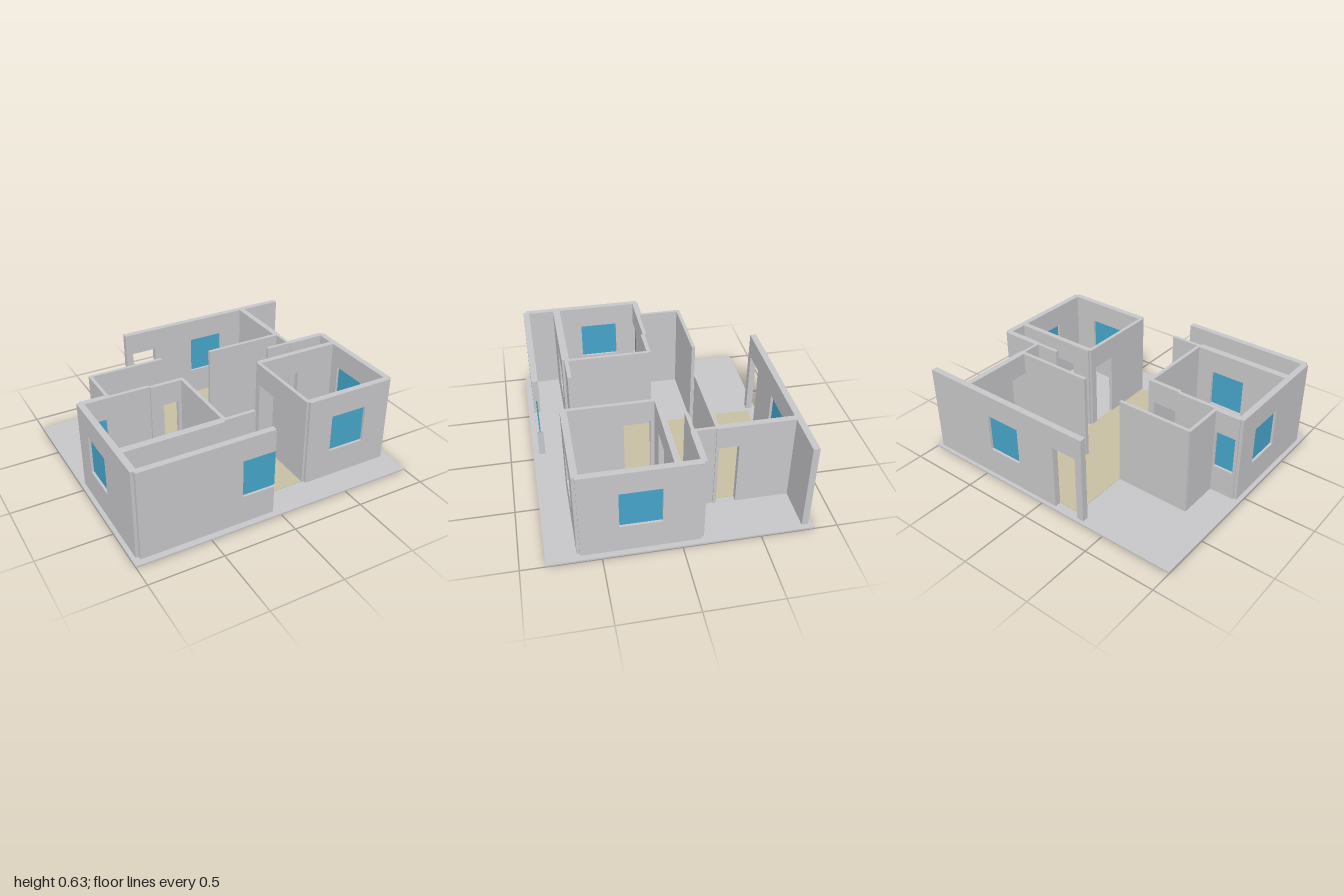
import * as THREE from 'three';

const wallMat = new THREE.MeshStandardMaterial({ color: 0xc8c8ca });
wallMat.name = 'grey plaster';
const glassMat = new THREE.MeshStandardMaterial({ color: 0x46a6cb });
glassMat.name = 'blue glass';
const hallMat = new THREE.MeshStandardMaterial({ color: 0xc8c0a3 });
hallMat.name = 'tan floor';

const FLOOR = 0.012, TOP = 0.63, SILL = 0.21, HEAD = 0.475;

function box(parent, name, mat, x0, x1, y0, y1, z0, z1) {
  const mesh = new THREE.Mesh(new THREE.BoxGeometry(x1 - x0, y1 - y0, z1 - z0), mat);
  mesh.position.set((x0 + x1) / 2, (y0 + y1) / 2, (z0 + z1) / 2);
  mesh.name = name;
  parent.add(mesh);
}

// A straight wall with one row of openings: [start, end, 'window' | 'door'] along its length
function wall(parent, name, x0, x1, z0, z1, openings = []) {
  const group = new THREE.Group();
  group.name = name;
  parent.add(group);
  const alongX = x1 - x0 > z1 - z0;
  const piece = (label, mat, a, b, y0, y1, inset = 0) => alongX
    ? box(group, label, mat, a, b, y0, y1, z0 + inset, z1 - inset)
    : box(group, label, mat, x0 + inset, x1 - inset, y0, y1, a, b);
  let at = alongX ? x0 : z0;
  const end = alongX ? x1 : z1;
  for (const [a, b, kind] of openings) {
    if (a > at) piece('wallPanel', wallMat, at, a, FLOOR - 0.002, TOP);
    piece('lintel', wallMat, a, b, HEAD, TOP);
    if (kind === 'window') {
      piece('sill', wallMat, a, b, FLOOR - 0.002, SILL);
      const thick = alongX ? z1 - z0 : x1 - x0;
      piece('glass', glassMat, a, b, SILL, HEAD, thick / 2 - 0.004);
    }
    at = b;
  }
  if (end > at) piece('wallPanel', wallMat, at, end, FLOOR - 0.002, TOP);
}

export function createModel() {
  const house = new THREE.Group();
  house.name = 'housePlan';

  // Ground slab and the tan hall floor
  box(house, 'groundSlab', wallMat, -1, 1, 0, FLOOR, -0.843, 0.843);
  const tan = [
    [-0.25, 0.63, -0.775, -0.28],
    [-0.245, 0.305, -0.28, 0.58],
    [-0.04, 0.3, 0.58, 0.627],
  ];
  for (const [x0, x1, z0, z1] of tan) box(house, 'hallFloor', hallMat, x0, x1, FLOOR, FLOOR + 0.003, z0, z1);

  // Back wall and hall walls
  wall(house, 'backWall', -0.33, 0.965, -0.818, -0.775, [[-0.28, -0.1, 'door'], [0.2, 0.455, 'window']]);
  wall(house, 'hallSideWall', 0.63, 0.672, -0.775, -0.27, [[-0.42, -0.29, 'door']]);
  wall(house, 'hallPartition', 0.09, 0.645, -0.29, -0.265);
  wall(house, 'hallLinkWall', 0.642, 0.664, -0.29, -0.11);

  // Room on the model's left, with the small space behind it
  const left = new THREE.Group();
  left.name = 'leftRoom';
  house.add(left);
  wall(left, 'outerWall', 0.92, 0.962, -0.125, 0.63, [[0.12, 0.385, 'window']]);
  wall(left, 'frontWall', 0.31, 0.945, 0.607, 0.65, [[0.49, 0.757, 'window']]);
  wall(left, 'hallWall', 0.295, 0.32, 0.025, 0.63, [[0.075, 0.25, 'door']]);
  wall(left, 'rearWall', 0.31, 0.93, 0.01, 0.048, [[0.45, 0.63, 'door']]);
  wall(left, 'washroomRearWall', 0.66, 0.945, -0.145, -0.105);
  wall(left, 'washroomStub', 0.475, 0.665, -0.135, -0.112);

  // Room on the model's right, with the front passage
  const right = new THREE.Group();
  right.name = 'rightRoom';
  house.add(right);
  wall(right, 'outerWall', -0.972, -0.93, -0.055, 0.775, [[0.11, 0.375, 'window']]);
  wall(right, 'frontWall', -0.952, -0.037, 0.758, 0.8, [[-0.262, -0.037, 'window']]);
  box(right, 'glassEdge', glassMat, -0.037, -0.026, SILL + 0.005, HEAD - 0.005, 0.775, 0.783);
  wall(right, 'passageWall', -0.935, -0.262, 0.53, 0.58, [[-0.63, -0.38, 'window']]);
  wall(right, 'passageStub', -0.265, -0.038, 0.537, 0.563);
  wall(right, 'rearWindowWall', -0.95, -0.77, -0.065, -0.022, [[-0.93, -0.79, 'window']]);
  wall(right, 'rearWall', -0.77, -0.483, -0.048, -0.022);
  wall(right, 'rearDoorWall', -0.485, -0.245, -0.035, -0.007, [[-0.46, -0.29, 'door']]);
  wall(right, 'hallWall', -0.265, -0.24, -0.02, 0.545);

  // Alcove behind the right room
  wall(right, 'alcoveSideWall', -0.78, -0.758, -0.345, -0.04);
  wall(right, 'alcoveRearWall', -0.775, -0.25, -0.352, -0.328);

  return house;
}
